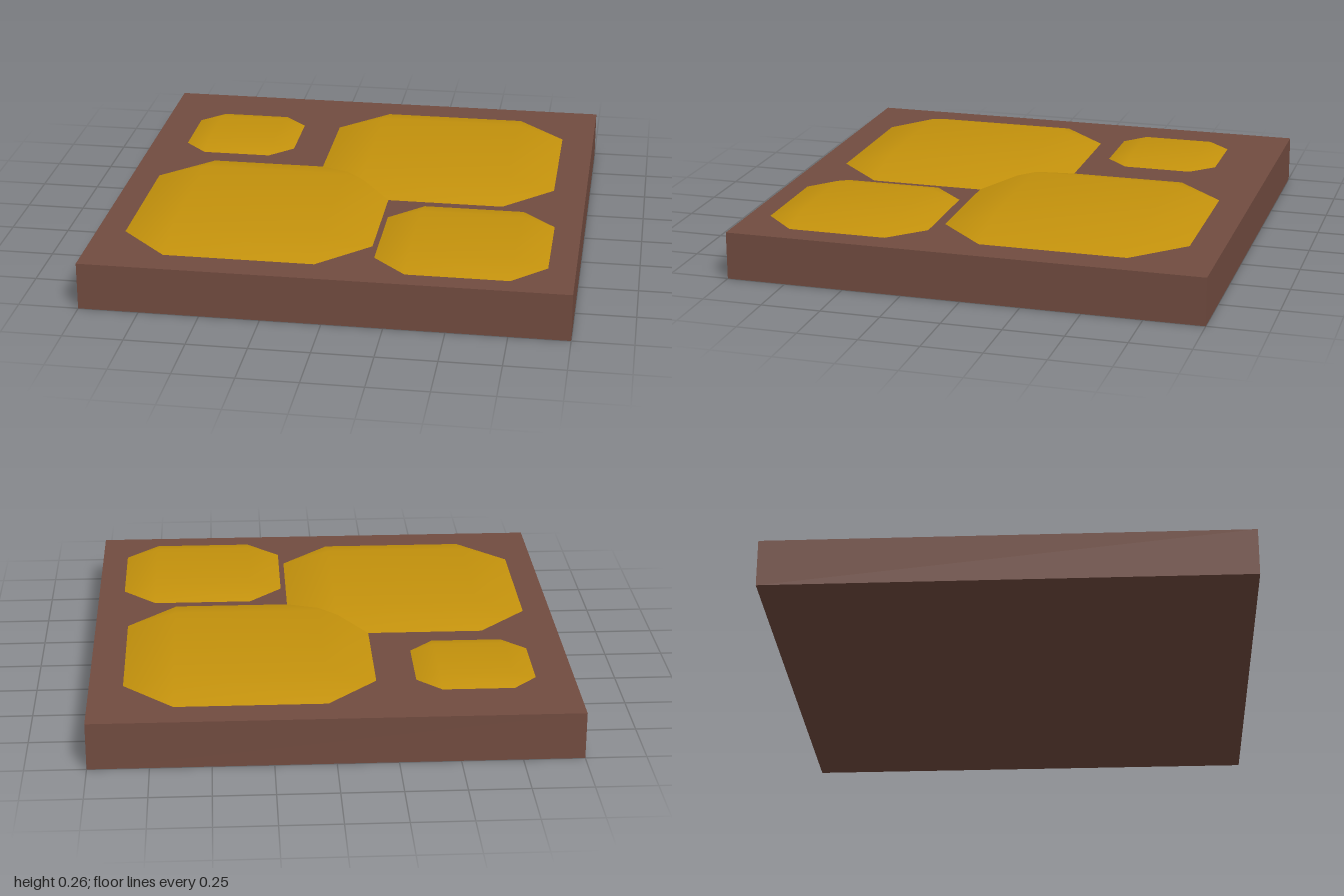
import * as THREE from 'three';

const SLAB_TOP = 0.2;

// Low mound: square top, sloping sides, cut corners, smooth normals
function moundGeometry(width, depth, height, slope) {
  const hx = width / 2, hz = depth / 2;
  const ix = hx - slope, iz = hz - slope;
  const corners = [[1, 1], [1, -1], [-1, -1], [-1, 1]]; // counter-clockwise from above
  const positions = [], index = [0, 3, 6, 0, 6, 9];
  corners.forEach(([sx, sz], i) => {
    const alongX = [sx * hx, 0, sz * iz], alongZ = [sx * ix, 0, sz * hz];
    const [first, second] = sx * sz > 0 ? [alongZ, alongX] : [alongX, alongZ];
    positions.push(sx * ix, height, sz * iz, ...first, ...second);
    const t = i * 3, n = ((i + 1) % 4) * 3;
    index.push(t, t + 1, t + 2); // cut corner
    index.push(t, t + 2, n + 1, t, n + 1, n); // sloping side
  });
  const geometry = new THREE.BufferGeometry();
  geometry.setAttribute('position', new THREE.Float32BufferAttribute(positions, 3));
  geometry.setIndex(index);
  geometry.computeVertexNormals();
  return geometry;
}

export function createModel() {
  const model = new THREE.Group();
  model.name = 'groundTile';
  const soil = new THREE.MeshStandardMaterial({ color: 0x724c40 });
  const gold = new THREE.MeshStandardMaterial({ color: 0xc4920c });

  // Square base slab
  const slab = new THREE.Mesh(new THREE.BoxGeometry(2, SLAB_TOP, 2), soil);
  slab.name = 'baseSlab';
  slab.position.y = SLAB_TOP / 2;
  model.add(slab);

  // Mounds: name, centre x, centre z, width, depth, height
  const mounds = [
    ['largeFrontMound', -0.36, 0.35, 1.04, 1.03, 0.057],
    ['largeBackMound', 0.34, -0.345, 1.04, 1.03, 0.057],
    ['mediumMound', 0.535, 0.56, 0.705, 0.695, 0.038],
    ['smallMound', -0.593, -0.505, 0.495, 0.49, 0.027],
  ];
  for (const [name, x, z, width, depth, height] of mounds) {
    const mound = new THREE.Mesh(moundGeometry(width, depth, height, width * 0.2), gold);
    mound.name = name;
    mound.position.set(x, SLAB_TOP, z);
    model.add(mound);
  }
  return model;
}
